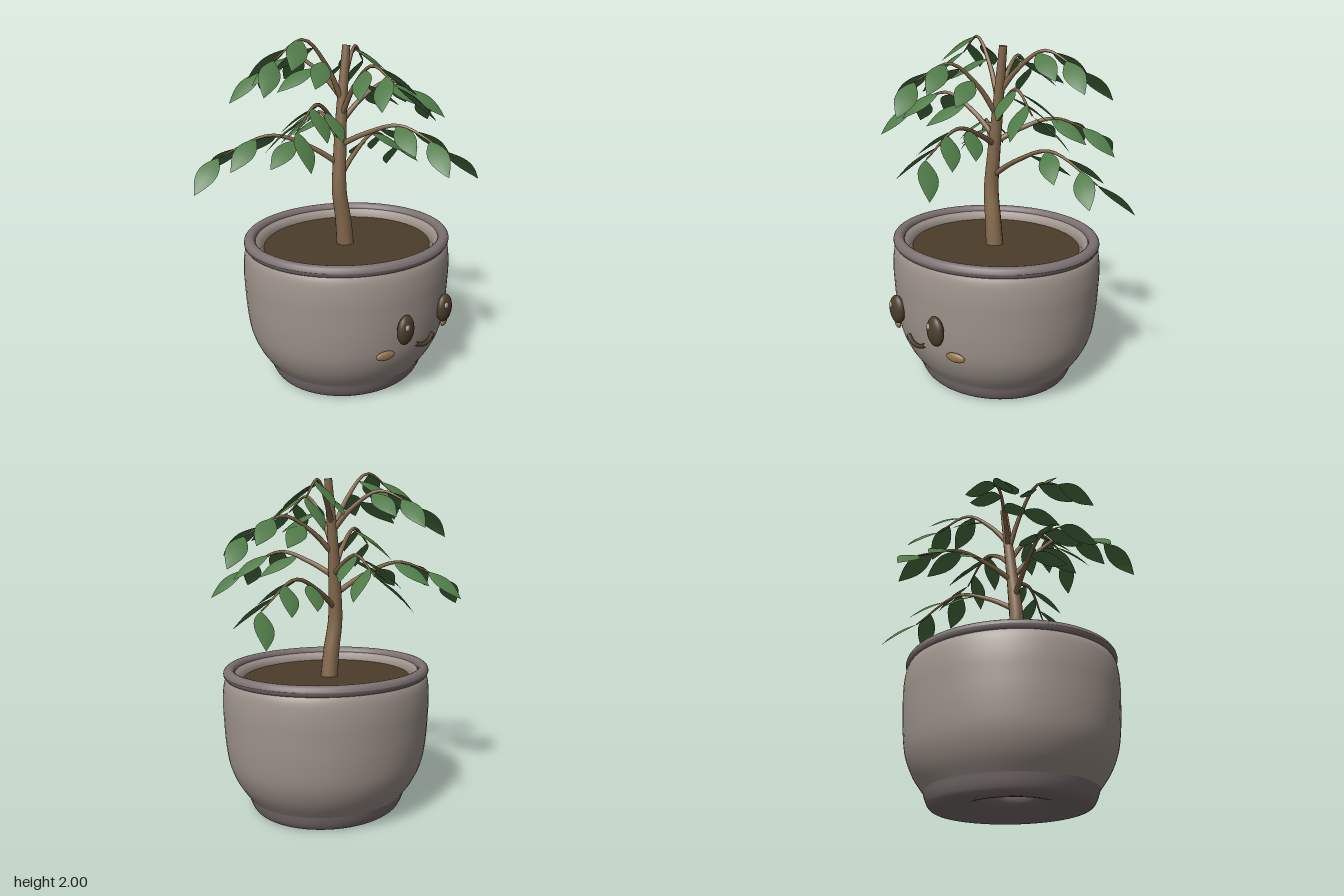
import * as THREE from 'three';

const material = (name, color, side = THREE.FrontSide) => {
  const m = new THREE.MeshStandardMaterial({ color, side });
  m.name = name;
  return m;
};

const V = (x, y, z) => new THREE.Vector3(x, y, z);

function add(parent, name, geometry, mat) {
  const mesh = new THREE.Mesh(geometry, mat);
  mesh.name = name;
  parent.add(mesh);
  return mesh;
}

// Tube along a curve whose radius shrinks from r0 to r1
function taperedTube(curve, segments, r0, r1, sides) {
  const geo = new THREE.TubeGeometry(curve, segments, r0, sides);
  const pos = geo.attributes.position;
  const v = V(0, 0, 0);
  for (let i = 0; i < pos.count; i++) {
    const t = Math.floor(i / (sides + 1)) / segments;
    const c = curve.getPointAt(t);
    v.fromBufferAttribute(pos, i).sub(c).multiplyScalar(1 + (r1 / r0 - 1) * t).add(c);
    pos.setXYZ(i, v.x, v.y, v.z);
  }
  return geo;
}

// Pointed leaf along +z, bent down and creased along the midrib
function leafGeometry(length, width) {
  const rows = 10, pos = [], index = [];
  for (let i = 0; i <= rows; i++) {
    const t = i / rows;
    const w = (width / 2) * Math.sin(Math.PI * Math.pow(t, 0.9));
    const y = 0.018 * Math.sin(Math.PI * t);
    for (const s of [-1, 0, 1]) pos.push(s * w, y - Math.abs(s) * w * 0.15, t * length);
    if (i === rows) break;
    for (let j = 0; j < 2; j++) {
      const a = i * 3 + j;
      index.push(a, a + 3, a + 1, a + 1, a + 3, a + 4);
    }
  }
  const geo = new THREE.BufferGeometry();
  geo.setAttribute('position', new THREE.Float32BufferAttribute(pos, 3));
  geo.setIndex(index);
  geo.computeVertexNormals();
  return geo;
}

export function createModel() {
  const model = new THREE.Group();
  model.name = 'pottedTree';

  const clay = material('clay', 0xa0958d, THREE.DoubleSide);
  const darkClay = material('dark clay', 0x7d7171, THREE.DoubleSide);
  const earth = material('soil', 0x4c3d2a, THREE.DoubleSide);
  const bark = material('bark', 0x866b4e);
  const green = material('leaf green', 0x4f7a47, THREE.DoubleSide);
  const dark = material('eye brown', 0x4c3e2d);
  const blush = material('blush tan', 0x917550);
  const shine = material('eye shine', 0xb5aaa2);

  // Pot: slightly oval, turned from profiles
  const pot = new THREE.Group();
  pot.name = 'pot';
  pot.position.set(0.01, 0, 0.035);
  pot.scale.z = 0.922;
  model.add(pot);
  const lathe = (pts) => new THREE.LatheGeometry(pts.map(([x, y]) => new THREE.Vector2(x, y)), 64);
  const smooth = (pts, n) => new THREE.SplineCurve(pts.map(([x, y]) => new THREE.Vector2(x, y)))
    .getPoints(n).map((p) => [p.x, p.y]);

  add(pot, 'potBody', lathe(smooth([
    [0.498, 0.1], [0.562, 0.19], [0.609, 0.3], [0.631, 0.44],
    [0.64, 0.58], [0.643, 0.68], [0.634, 0.78], [0.61, 0.83]], 28)), clay);
  add(pot, 'potFoot', lathe(smooth([
    [0.135, 0.13], [0.145, 0.09], [0.18, 0.055], [0.28, 0.02], [0.41, 0.003],
    [0.455, 0.014], [0.48, 0.05], [0.498, 0.1]], 28)), darkClay);
  add(pot, 'potInside', lathe([
    [0.585, 0.85], [0.55, 0.83], [0.508, 0.785], [0.56, 0.6], [0.55, 0.4], [0.46, 0.14], [0.135, 0.13]]), clay);
  const ring = [];
  for (let i = 0; i <= 16; i++) {
    const a = (i / 16) * Math.PI * 2;
    ring.push([0.602 + 0.035 * Math.cos(a), 0.838 + 0.033 * Math.sin(a)]);
  }
  add(pot, 'potRim', lathe(ring), darkClay);
  const soil = add(pot, 'soil', new THREE.CircleGeometry(0.518, 48), earth);
  soil.rotation.x = -Math.PI / 2;
  soil.position.y = 0.796;

  // Face
  const face = new THREE.Group();
  face.name = 'face';
  face.position.x = 0.01;
  model.add(face);
  const ball = new THREE.SphereGeometry(1, 24, 16);
  const blob = (name, mat, p, s, turn = 0) => {
    const mesh = add(face, name, ball, mat);
    mesh.position.set(...p);
    mesh.scale.set(...s);
    mesh.rotation.y = turn;
  };
  for (const [side, s] of [['left', 1], ['right', -1]]) {
    blob(side + 'Eye', dark, [0.19 * s, 0.475, 0.615], [0.064, 0.086, 0.036]);
    blob(side + 'EyeShine', shine, [0.19 * s - 0.022, 0.503, 0.642], [0.017, 0.018, 0.009]);
    blob(side + 'Cheek', blush, [0.29 * s, 0.338, 0.557], [0.059, 0.027, 0.016], 0.35 * s);
  }
  const smile = new THREE.QuadraticBezierCurve3(V(-0.085, 0.35, 0.61), V(0, 0.295, 0.63), V(0.085, 0.35, 0.61));
  add(face, 'mouth', new THREE.TubeGeometry(smile, 16, 0.013, 8), dark);

  // Trunk
  const tree = new THREE.Group();
  tree.name = 'tree';
  model.add(tree);
  const trunk = new THREE.CatmullRomCurve3([
    V(0, 0.76, 0.03), V(-0.02, 0.95, 0.028), V(-0.045, 1.12, 0.02), V(-0.033, 1.32, 0.012),
    V(-0.005, 1.6, 0.003), V(0.038, 1.95, 0)]);
  add(tree, 'trunk', taperedTube(trunk, 24, 0.053, 0.023, 12), bark);
  const cap = add(tree, 'trunkTop', new THREE.CircleGeometry(0.023, 12), bark);
  cap.position.copy(trunk.getPointAt(1));
  cap.quaternion.setFromUnitVectors(V(0, 0, 1), trunk.getTangentAt(1));

  // Branches: start height, peak height, tip x, y, z
  const branches = [
    [1.28, 1.47, -0.61, 1.36, -0.37],
    [1.19, 1.40, 0.67, 1.26, -0.11],
    [1.38, 1.53, 0.15, 1.41, 0.61],
    [1.40, 1.53, 0.27, 1.43, -0.53],
    [1.42, 1.67, -0.57, 1.57, 0.20],
    [1.52, 1.74, 0.50, 1.63, 0.20],
    [1.55, 1.86, -0.13, 1.77, 0.48],
    [1.65, 1.88, -0.21, 1.79, -0.43],
    [1.68, 1.93, 0.43, 1.83, -0.20],
    [1.64, 1.99, -0.44, 1.89, -0.09],
  ];
  const leafGeo = leafGeometry(0.268, 0.114);
  const trunkAt = (y) => {
    let t = 0;
    while (t < 1 && trunk.getPointAt(t).y < y) t += 0.01;
    return trunk.getPointAt(Math.min(t, 1));
  };
  branches.forEach(([y0, yPeak, x, y, z]) => {
    const start = trunkAt(y0);
    const tip = V(x, y, z);
    const peak = start.clone().lerp(tip, 0.58).setY(yPeak);
    const rise = start.clone().lerp(tip, 0.25).setY(y0 + (yPeak - y0) * 0.6);
    const curve = new THREE.CatmullRomCurve3([start, rise, peak, tip]);
    add(tree, 'branch', taperedTube(curve, 16, 0.018, 0.004, 7), bark);

    // Leaves alternate from side to side, starting at the tip; each rolls outward, inner ones hang less
    const heading = Math.atan2(x - start.x, z - start.z);
    for (let i = 0; i < 5; i++) {
      const side = i % 2 ? -1 : 1;
      const leaf = add(tree, 'leaf', leafGeo, green);
      leaf.position.copy(curve.getPointAt(1 - i * 0.152));
      leaf.rotation.order = 'YXZ';
      leaf.rotation.set(0.68 - 0.05 * i, heading + 0.75 * side, -0.4 * side);
    }
  });

  return model;
}
